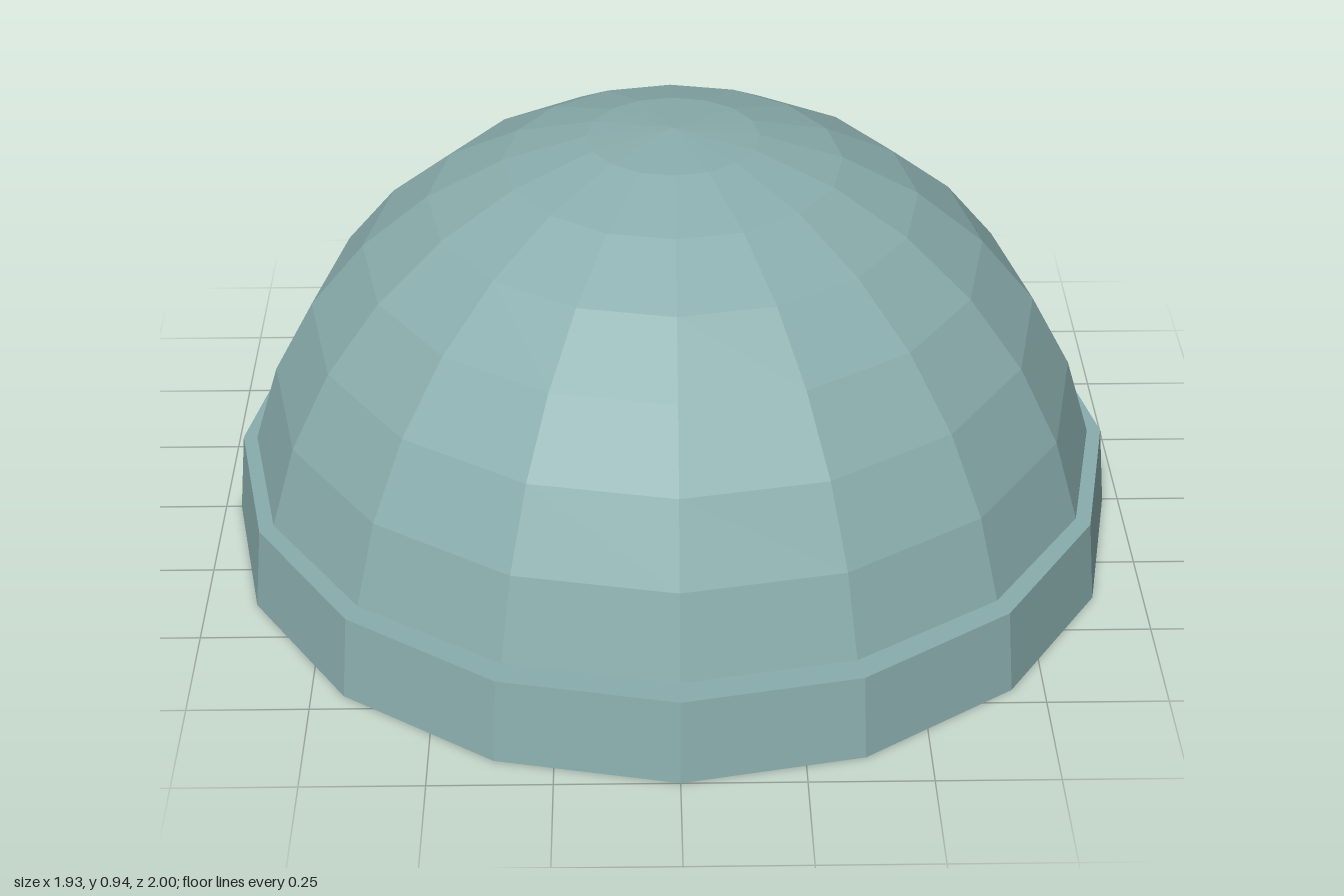
import * as THREE from 'three';

const SIDES = 16;

// Joins elliptical rings [radiusX, radiusZ, y], listed from the bottom outward and up
function loft(rings) {
  const positions = [], index = [];
  for (const [rx, rz, y] of rings) {
    for (let i = 0; i < SIDES; i++) {
      const a = (i / SIDES) * Math.PI * 2;
      positions.push(rx * Math.sin(a), y, rz * Math.cos(a));
    }
  }
  for (let r = 0; r < rings.length - 1; r++) {
    for (let i = 0; i < SIDES; i++) {
      const j = (i + 1) % SIDES;
      const a = r * SIDES + i, b = r * SIDES + j;
      index.push(a, b, b + SIDES, a, b + SIDES, a + SIDES);
    }
  }
  const geometry = new THREE.BufferGeometry();
  geometry.setAttribute('position', new THREE.Float32BufferAttribute(positions, 3));
  geometry.setIndex(index);
  geometry.computeVertexNormals();
  return geometry;
}

export function createModel() {
  const group = new THREE.Group();
  group.name = 'dome';
  const material = new THREE.MeshStandardMaterial({
    color: 0x8aadad, flatShading: true, side: THREE.DoubleSide,
  });

  const radius = 0.937;
  const step = Math.PI / 16;
  const seamRadius = radius * Math.cos(step);
  const seamY = radius * Math.sin(step);

  // Thin faceted shell, open below, starting one ring above the ground
  const shell = new THREE.Mesh(
    new THREE.SphereGeometry(radius, SIDES, 7, 0, Math.PI * 2, 0, Math.PI / 2 - step),
    material,
  );
  shell.name = 'domeShell';
  group.add(shell);

  // Slightly oval hollow band: bottom lip, tapered wall, flat top ledge
  const band = new THREE.Mesh(loft([
    [0.84, 0.875, 0],
    [0.966, 1, 0],
    [0.949, 0.982, seamY],
    [seamRadius, seamRadius, seamY],
  ]), material);
  band.name = 'baseBand';
  group.add(band);

  return group;
}
